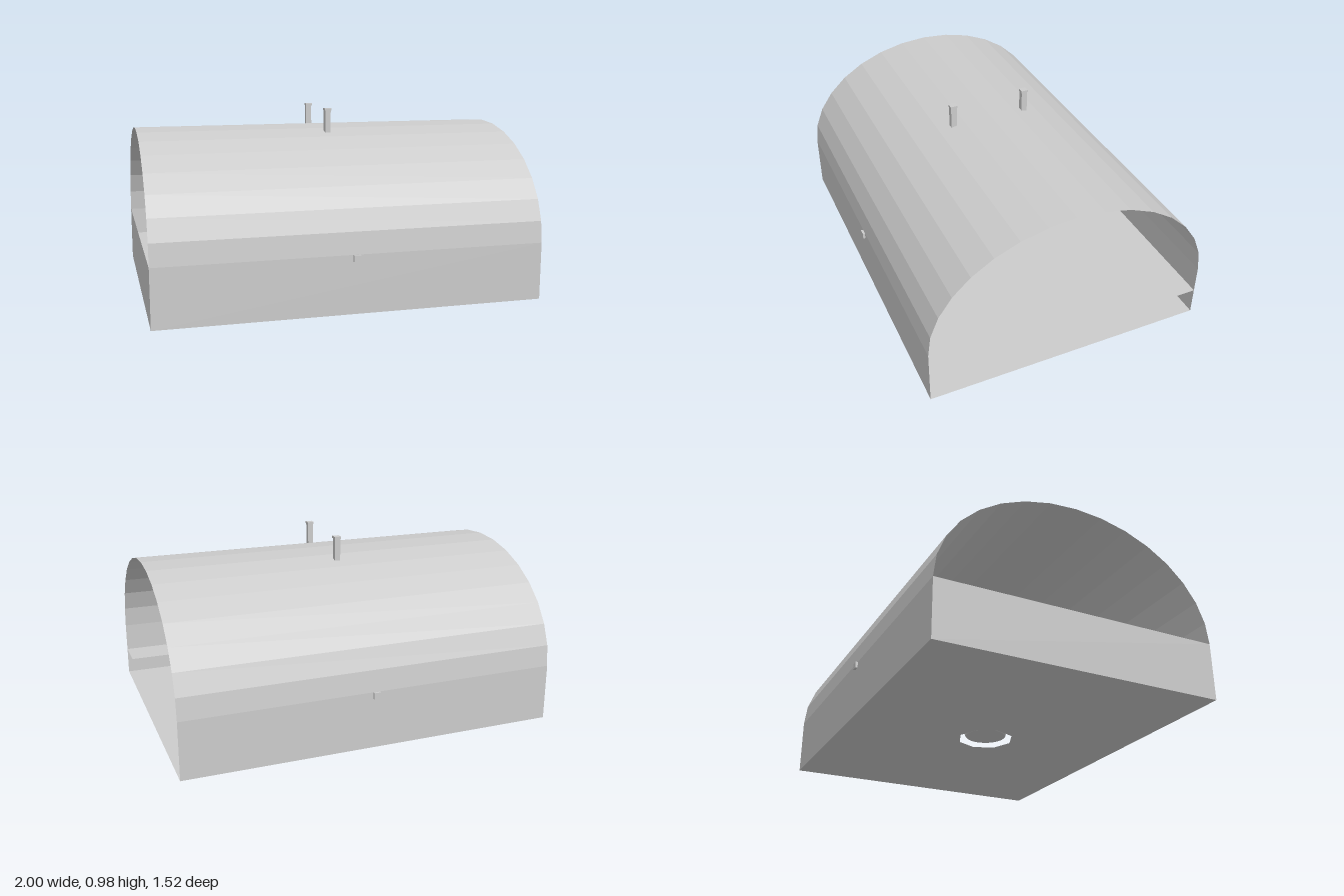
import * as THREE from 'three';

const solid = new THREE.MeshStandardMaterial({ color: 0xcccccc });
const sheet = new THREE.MeshStandardMaterial({ color: 0xcccccc, side: THREE.DoubleSide, flatShading: true });

function add(parent, name, geometry, material = solid) {
  const mesh = new THREE.Mesh(geometry, material);
  mesh.name = name;
  parent.add(mesh);
  return mesh;
}

function box(parent, name, w, h, d, x, y, z) {
  const mesh = add(parent, name, new THREE.BoxGeometry(w, h, d));
  mesh.position.set(x, y, z);
  return mesh;
}

// Upright cylinder between two heights
function drum(parent, name, r, y0, y1, x = 0, z = 0, sides = 32) {
  const mesh = add(parent, name, new THREE.CylinderGeometry(r, r, y1 - y0, sides));
  mesh.position.set(x, (y0 + y1) / 2, z);
  return mesh;
}

function flatSheet(parent, name, points, y, hole) {
  const shape = new THREE.Shape(points.map(([x, z]) => new THREE.Vector2(x, z)));
  if (hole) shape.holes.push(hole);
  const geometry = new THREE.ShapeGeometry(shape);
  geometry.rotateX(-Math.PI / 2);
  add(parent, name, geometry, sheet).position.y = y;
}

function wall(parent, name, width, height, x, z, turn) {
  const mesh = add(parent, name, new THREE.PlaneGeometry(width, height), sheet);
  mesh.position.set(x, height / 2, z);
  mesh.rotation.y = turn;
}

function createShelter() {
  const g = new THREE.Group();
  g.name = 'shelter';
  const W = 0.75, H = 0.3;

  // Floor with an octagonal opening under the machine
  const hole = new THREE.Path();
  for (let i = 0; i < 8; i++) {
    const a = -i * Math.PI / 4;
    const x = 0.148 * Math.cos(a), y = 0.148 * Math.sin(a);
    if (i) hole.lineTo(x, y); else hole.moveTo(x, y);
  }
  hole.closePath();
  flatSheet(g, 'floor', [[-1, -W], [1, -W], [1, W], [-1, W]], 0, hole);

  // Walls on three sides, open at +x
  wall(g, 'frontWall', 2, H, 0, W, 0);
  wall(g, 'backWall', 2, H, 0, -W, Math.PI);
  wall(g, 'endWall', 2 * W, H, -1, 0, -Math.PI / 2);

  // U-shaped shelf along the walls
  const s = 0.5625;
  flatSheet(g, 'shelf', [[-1, -W], [1, -W], [1, -s], [-0.6, -s], [-0.6, s], [1, s], [1, W], [-1, W]], 0.147);

  // Faceted vault
  const vault = new THREE.CylinderGeometry(1, 1, 2, 16, 1, true, 0, Math.PI);
  vault.rotateZ(Math.PI / 2);
  vault.scale(1, 0.575, W);
  vault.translate(0, H, 0);
  add(g, 'vaultRoof', vault, sheet);
  return g;
}

function createFrame() {
  const g = new THREE.Group();
  g.name = 'supportFrame';
  for (const side of [1, -1]) {
    box(g, 'post', 0.03, 0.965, 0.032, 0, 0.4825, side * 0.206);
    box(g, 'postCap', 0.035, 0.012, 0.037, 0, 0.969, side * 0.206);
    box(g, 'postFoot', 0.08, 0.006, 0.08, 0, 0.003, side * 0.206);
    box(g, 'crossBeam', 0.035, 0.033, 0.54, 0, 0.2825, side * 0.492);
  }
  return g;
}

function createMachine() {
  const g = new THREE.Group();
  g.name = 'machine';

  // Turned body; each straight run is its own lathe so edges stay crisp
  const profile = [
    [0, 0.015], [0.105, 0.015], [0.11, 0.02], [0.11, 0.07], [0.165, 0.07], [0.176, 0.085],
    [0.176, 0.655], [0.17, 0.662], [0.13, 0.665], [0.122, 0.675], [0.122, 0.703],
    [0.105, 0.707], [0.1, 0.718], [0, 0.718]
  ].map(([r, y]) => new THREE.Vector2(r, y));
  const body = new THREE.Group();
  body.name = 'body';
  for (let i = 1; i < profile.length; i++) {
    add(body, 'bodySection', new THREE.LatheGeometry([profile[i - 1], profile[i]], 40));
  }
  g.add(body);

  // Clamping bands
  for (const [y0, y1] of [[0.503, 0.535], [0.332, 0.362], [0.153, 0.185]]) drum(g, 'band', 0.187, y0, y1, 0, 0, 40);

  // Bolt circles on the lid and underside
  for (let i = 0; i < 8; i++) {
    const a = i * Math.PI / 4;
    drum(g, 'lidBolt', 0.014, 0.715, 0.727, 0.085 * Math.cos(a), 0.085 * Math.sin(a), 6);
    drum(g, 'baseBolt', 0.016, 0.057, 0.072, 0.128 * Math.cos(a), 0.128 * Math.sin(a), 6);
  }

  for (const side of [1, -1]) {
    // Round side port
    const port = add(g, 'sidePort', new THREE.CylinderGeometry(0.05, 0.05, 0.06, 24));
    port.rotation.z = Math.PI / 2;
    port.position.set(side * 0.175, 0.43, 0);

    // Three stepped canisters in an arc
    for (const t of [-1, 0, 1]) {
      const a = t * 0.62;
      const x = side * 0.215 * Math.cos(a), z = 0.215 * Math.sin(a);
      drum(g, 'canister', 0.043, 0.173, 0.34, x, z, 20);
      drum(g, 'canisterCollar', 0.032, 0.155, 0.358, x, z, 20);
      drum(g, 'canisterStem', 0.021, 0.137, 0.377, x, z, 12);
    }
  }
  return g;
}

export function createModel() {
  const model = new THREE.Group();
  model.name = 'machineShelter';
  model.add(createShelter(), createFrame(), createMachine());
  return model;
}
